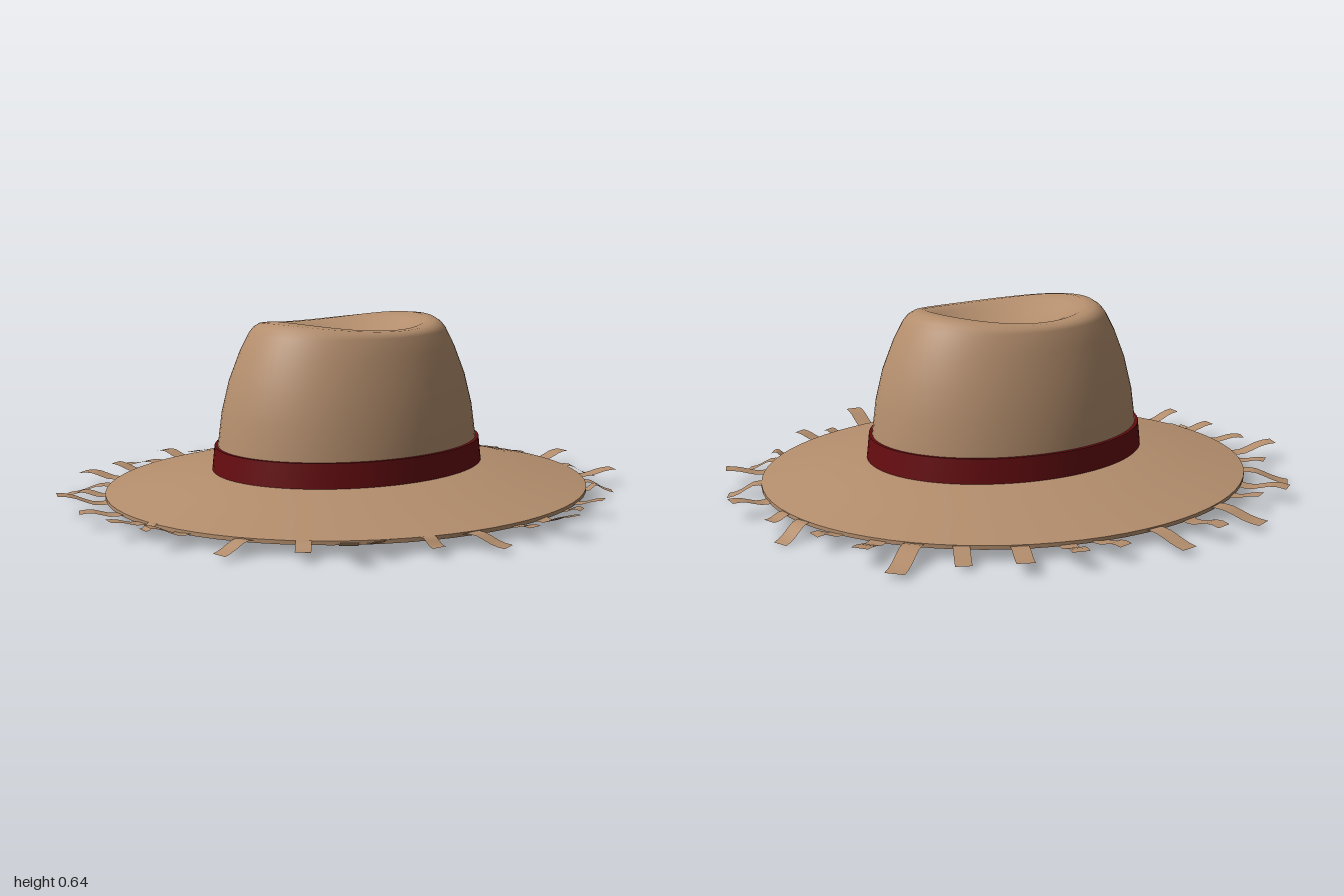
import * as THREE from 'three';
import { toCreasedNormals } from 'three/addons/utils/BufferGeometryUtils.js';

// Skin over elliptical rings [rx, rz, y, extra height at front and back]
function loft(rings, segments = 72) {
  const pos = [], index = [];
  for (const [rx, rz, y, rise = 0] of rings) {
    for (let j = 0; j < segments; j++) {
      const a = (j / segments) * Math.PI * 2;
      pos.push(rx * Math.cos(a), y + rise * Math.sin(a) ** 2, rz * Math.sin(a));
    }
  }
  for (let i = 0; i < rings.length - 1; i++) {
    for (let j = 0; j < segments; j++) {
      const k = (j + 1) % segments;
      const a = i * segments + j, c = i * segments + k;
      const b = a + segments, d = c + segments;
      index.push(a, b, c, c, b, d);
    }
  }
  const g = new THREE.BufferGeometry();
  g.setAttribute('position', new THREE.Float32BufferAttribute(pos, 3));
  g.setIndex(index);
  g.computeVertexNormals();
  return g;
}

// Wavy ribbon from the brim edge out to its tip
function ribbon(base, tip, width, wave) {
  const steps = 6, pos = [], index = [];
  const dir = tip.clone().sub(base).setY(0).normalize();
  const side = new THREE.Vector3(-dir.z, 0, dir.x).multiplyScalar(width / 2);
  for (let i = 0; i <= steps; i++) {
    const t = i / steps;
    const p = base.clone().lerp(tip, t);
    p.y = base.y + (tip.y - base.y) * t * t + wave * Math.sin(t * Math.PI * 2);
    pos.push(p.x - side.x, p.y, p.z - side.z, p.x + side.x, p.y, p.z + side.z);
    if (i < steps) {
      const k = i * 2;
      index.push(k, k + 1, k + 2, k + 1, k + 3, k + 2);
    }
  }
  for (let i = 0; i < index.length; i += 3) [index[i + 1], index[i + 2]] = [index[i + 2], index[i + 1]];
  const g = new THREE.BufferGeometry();
  g.setAttribute('position', new THREE.Float32BufferAttribute(pos, 3));
  g.setIndex(index);
  g.computeVertexNormals();
  return g;
}

// Frayed strands: [angle on the brim edge, tip x, tip z, tip y]
const STRANDS = [
  [-88, 0.01, -0.95, 0.035], [-77, 0.2, -0.99, 0.06], [-64.5, 0.42, -0.89, 0.005],
  [-53.4, 0.55, -0.83, 0.06], [-44.6, 0.65, -0.69, 0.01], [-38, 0.67, -0.58, 0.05],
  [-22.4, 0.84, -0.37, 0.06], [-15, 0.84, -0.25, 0.045], [-5, 0.96, -0.05, 0.078],
  [3.5, 0.89, 0.06, 0.05], [16.3, 0.91, 0.21, 0.018], [26, 0.8, 0.39, 0.03],
  [37, 0.71, 0.54, 0.06], [42, 0.7, 0.67, 0.075], [51, 0.56, 0.73, 0.03],
  [63, 0.37, 0.89, 0.015], [78, 0.135, 0.98, 0.075], [87.5, 0.025, 0.93, 0.04],
  [92, -0.055, 0.99, 0.06], [102.5, -0.25, 0.97, 0.05], [115.7, -0.43, 0.94, 0.075],
  [122.5, -0.525, 0.79, 0.05], [132.7, -0.67, 0.75, 0.01], [143.4, -0.8, 0.6, 0.05],
  [152.5, -0.82, 0.44, 0.06], [162, -0.945, 0.315, 0.02], [172.5, -0.945, 0.13, 0.05],
  [183, -0.965, -0.04, 0.02], [196.4, -0.885, -0.23, 0.05], [203, -0.865, -0.39, 0.06],
  [213, -0.8, -0.545, 0.04], [225, -0.655, -0.665, 0.015], [234.5, -0.58, -0.86, 0.015],
  [242.7, -0.44, -0.89, 0.06], [253, -0.23, -0.925, 0.05], [264, -0.115, -0.98, 0.0],
];

export function createModel() {
  const hat = new THREE.Group();
  hat.name = 'hat';
  const felt = new THREE.MeshStandardMaterial({ color: 0xb48e6d, side: THREE.DoubleSide });
  felt.name = 'tan felt';
  const red = new THREE.MeshStandardMaterial({ color: 0x660c10 });
  red.name = 'dark red band';

  const add = (name, geometry, material, parent = hat) => {
    const mesh = new THREE.Mesh(geometry, material);
    mesh.name = name;
    parent.add(mesh);
  };

  // Crown with a saddle-shaped rim and a dented top
  add('crown', loft([
    [0.412, 0.51, 0.12], [0.405, 0.503, 0.2], [0.386, 0.49, 0.32], [0.357, 0.465, 0.43],
    [0.322, 0.425, 0.53], [0.295, 0.39, 0.59, 0.005], [0.283, 0.37, 0.602, 0.018],
    [0.265, 0.345, 0.609, 0.027], [0.235, 0.305, 0.61, 0.03], [0.2, 0.26, 0.598, 0.025],
    [0.16, 0.21, 0.581, 0.014], [0.11, 0.145, 0.566, 0.005], [0.055, 0.072, 0.558],
    [0.001, 0.001, 0.556],
  ]), felt);

  // Sloping brim with a thin edge and a head opening underneath
  add('brim', toCreasedNormals(loft([
    [0.365, 0.45, 0.108], [0.815, 0.882, 0.036], [0.815, 0.882, 0.049],
    [0.6, 0.7, 0.089], [0.42, 0.515, 0.124], [0.365, 0.45, 0.13], [0.365, 0.45, 0.108],
  ]), 0.6), felt);

  // Band around the crown
  add('band', toCreasedNormals(loft([
    [0.4, 0.495, 0.118], [0.427, 0.522, 0.118], [0.417, 0.513, 0.206], [0.398, 0.495, 0.206],
  ]), 0.6), red);

  // Frayed fringe around the brim
  const fringe = new THREE.Group();
  fringe.name = 'fringe';
  hat.add(fringe);
  STRANDS.forEach(([deg, x, z, y], i) => {
    const a = THREE.MathUtils.degToRad(deg);
    const base = new THREE.Vector3(0.8 * Math.cos(a), 0.043, 0.866 * Math.sin(a));
    const tip = new THREE.Vector3(x, y, z);
    const length = base.distanceTo(tip);
    const wave = (y > 0.043 ? -1 : 1) * (0.004 + 0.002 * (i % 3));
    add('strand', ribbon(base, tip, 0.038 + 0.13 * length, wave), felt, fringe);
  });
  return hat;
}
